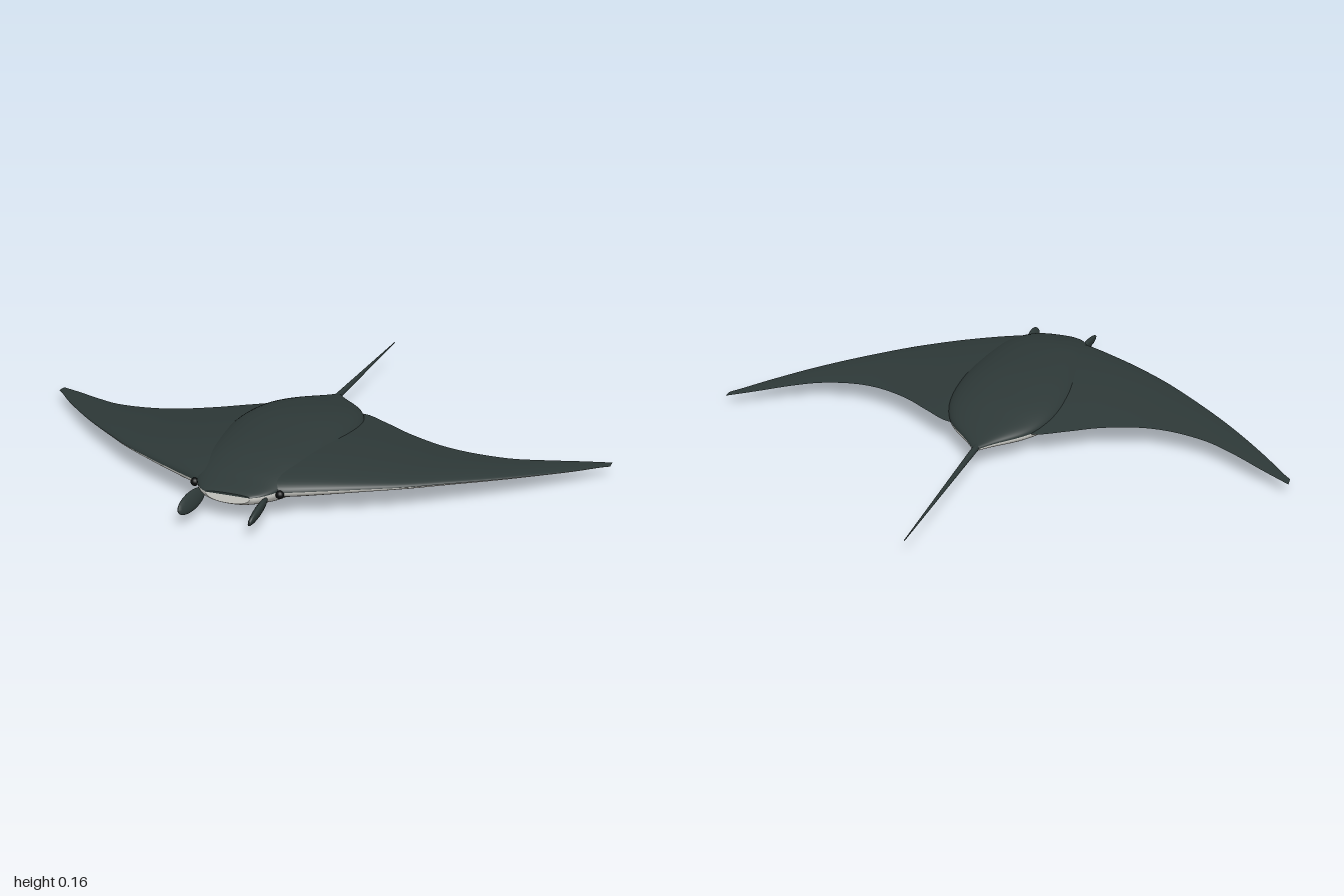
import * as THREE from 'three';

const dark = new THREE.MeshStandardMaterial({ color: 0x2d3837 });
const pale = new THREE.MeshStandardMaterial({ color: 0xd9d9d3 });
const black = new THREE.MeshStandardMaterial({ color: 0x0c0e0e });
dark.name = 'slate back';
pale.name = 'pale belly';
black.name = 'black eye';

// Smooth surface from a rule f(u, v) -> [x, y, z]
function sheet(f, nu, nv, flip = false) {
  const pos = [], idx = [];
  for (let i = 0; i <= nu; i++)
    for (let j = 0; j <= nv; j++) pos.push(...f(i / nu, j / nv));
  for (let i = 0; i < nu; i++)
    for (let j = 0; j < nv; j++) {
      const a = i * (nv + 1) + j, b = a + nv + 1;
      if (flip) idx.push(a, a + 1, b, b, a + 1, b + 1);
      else idx.push(a, b, a + 1, b, b + 1, a + 1);
    }
  const g = new THREE.BufferGeometry();
  g.setAttribute('position', new THREE.Float32BufferAttribute(pos, 3));
  g.setIndex(idx);
  g.computeVertexNormals();
  return g;
}

// Smooth interpolation of rows of numbers; returns u -> row
function track(rows) {
  const curve = (k) => new THREE.CatmullRomCurve3(
    rows.map((r) => new THREE.Vector3(r[k], r[k + 1], r[k + 2] ?? 0)), false, 'catmullrom');
  const a = curve(0), b = curve(3);
  return (u) => [...a.getPoint(u).toArray(), ...b.getPoint(u).toArray()];
}

// Body stations: z, half width, top y, middle y, bottom y
const bodyAt = track([
  [-0.215, 0.012, 0.086, 0.078, 0.069],
  [-0.17, 0.05, 0.095, 0.08, 0.06],
  [-0.07, 0.14, 0.118, 0.082, 0.04],
  [0.05, 0.19, 0.144, 0.084, 0.016],
  [0.2, 0.207, 0.162, 0.085, 0.003],
  [0.35, 0.2, 0.163, 0.085, 0.001],
  [0.5, 0.182, 0.153, 0.085, 0.004],
  [0.6, 0.158, 0.132, 0.085, 0.015],
  [0.67, 0.128, 0.11, 0.084, 0.034],
  [0.71, 0.1, 0.097, 0.083, 0.046],
  [0.73, 0.072, 0.089, 0.082, 0.056],
]);

// Wing stations: x, middle y, leading z, trailing z, half thickness
const wingAt = track([
  [0.08, 0.082, 0.675, -0.03, 0.05],
  [0.15, 0.082, 0.655, -0.068, 0.049],
  [0.25, 0.082, 0.605, -0.012, 0.041],
  [0.35, 0.081, 0.55, 0.052, 0.031],
  [0.47, 0.077, 0.475, 0.103, 0.021],
  [0.58, 0.072, 0.39, 0.118, 0.015],
  [0.7, 0.064, 0.29, 0.102, 0.01],
  [0.8, 0.056, 0.197, 0.058, 0.007],
  [0.9, 0.046, 0.095, 0.002, 0.004],
  [0.97, 0.039, 0.015, -0.035, 0.002],
  [1.0, 0.036, -0.015, -0.05, 0.001],
]);

// Half of a body cross-section; side is 1 for the back, -1 for the belly
function bodyPoint(u, v, side, scale = 1) {
  const [z, w, top, mid, bottom] = bodyAt(u);
  const a = v * Math.PI, c = Math.cos(a), s = Math.sin(a);
  const h = side > 0 ? top - mid : mid - bottom;
  return [-side * w * scale * Math.sign(c) * Math.abs(c) ** 0.9,
    mid + side * h * scale * Math.max(s, 0) ** 0.9, z];
}

// Half of a wing, with a rounded leading edge and a thin trailing edge
function wingPoint(u, v, sx, side) {
  const [x, mid, lead, trail, t] = wingAt(u);
  const s = v * v;
  return [sx * x, mid + side * t * 2.6 * Math.sqrt(s) * (1 - s),
    THREE.MathUtils.lerp(lead, trail, s)];
}

export function createModel() {
  const model = new THREE.Group();
  model.name = 'mantaRay';
  const add = (name, geometry, material) => {
    const mesh = new THREE.Mesh(geometry, material);
    mesh.name = name;
    model.add(mesh);
    return mesh;
  };

  // Body and blunt snout
  for (const [side, name, mat] of [[1, 'back', dark], [-1, 'belly', pale]]) {
    add(name, sheet((u, v) => bodyPoint(u, v, side), 60, 32), mat);
    add(side > 0 ? 'upperLip' : 'mouth',
      sheet((u, v) => bodyPoint(1, v, side, 1 - u), 1, 32), mat);
  }

  for (const sx of [1, -1]) {
    const label = sx > 0 ? 'left' : 'right';

    // Wing, dark above and pale below
    for (const side of [1, -1])
      add(label + (side > 0 ? 'WingTop' : 'WingUnderside'),
        sheet((u, v) => wingPoint(u, v, sx, side), 50, 24, sx * side < 0),
        side > 0 ? dark : pale);

    // Head fin beside the mouth, leaning outward at the top
    const fin = add(label + 'HeadFin', new THREE.SphereGeometry(1, 20, 14), dark);
    fin.scale.set(0.012, 0.027, 0.08);
    fin.position.set(sx * 0.108, 0.056, 0.755);
    fin.rotation.set(0.08, sx * 0.07, -sx * 0.4);

    // Eye
    const eye = add(label + 'Eye', new THREE.SphereGeometry(0.013, 14, 10), black);
    eye.position.set(sx * 0.14, 0.077, 0.662);
  }

  // Whip tail
  const tail = add('tail', new THREE.CylinderGeometry(0.0015, 0.011, 0.64, 14), dark);
  tail.position.set(0, 0.082, -0.52);
  tail.rotation.x = -Math.PI / 2 + 0.013;
  return model;
}
